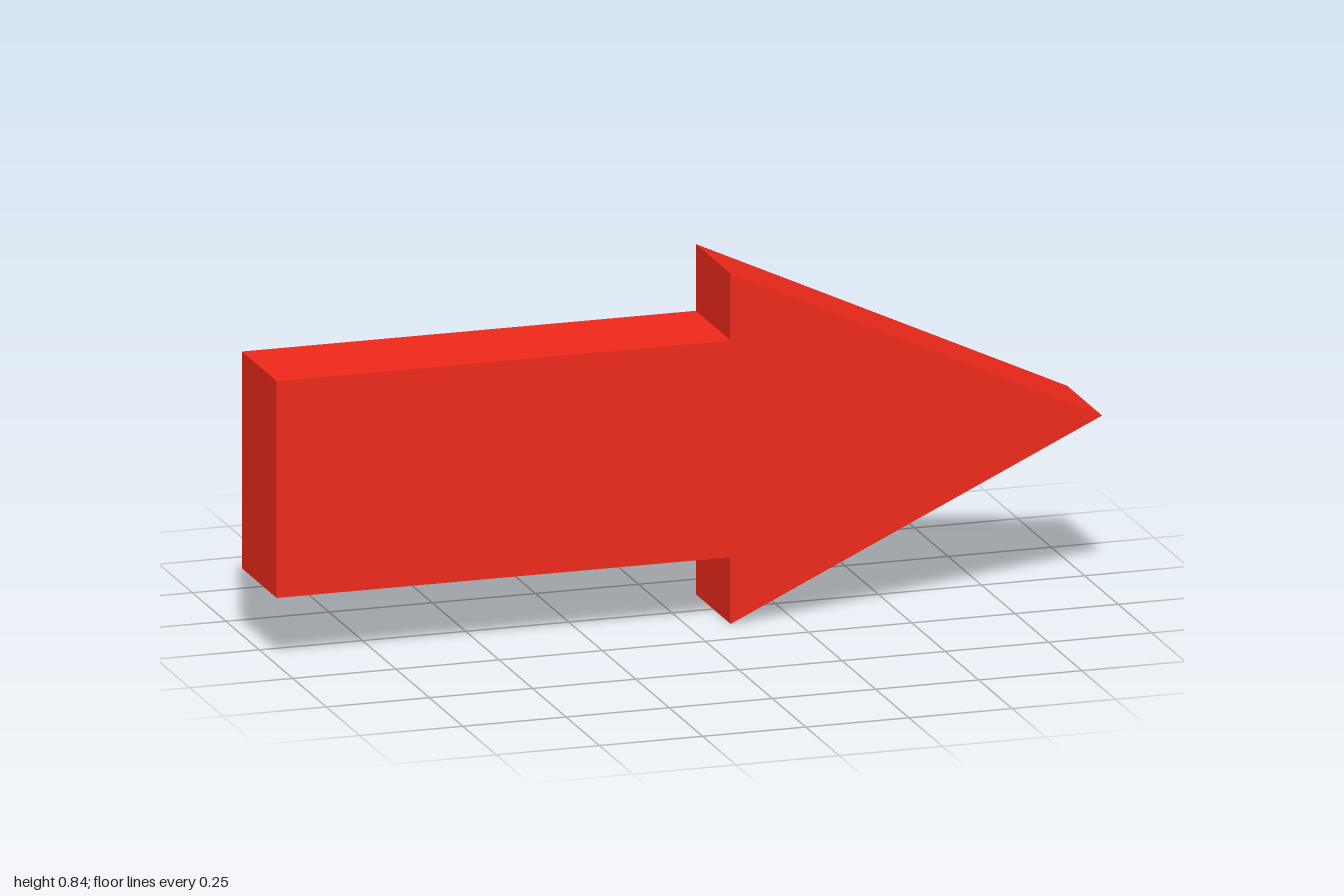
import * as THREE from 'three';

export function createModel() {
  const group = new THREE.Group();
  group.name = 'arrow';

  const depth = 0.26;
  const midY = 0.42;
  const shaftHalf = 0.26;
  const headX = 0.1;

  // Arrow outline: shaft on the left, pointed head on the right
  const outline = new THREE.Shape([
    [-1, midY - shaftHalf],
    [headX, midY - shaftHalf],
    [headX, 0],
    [1, midY],
    [headX, midY * 2],
    [headX, midY + shaftHalf],
    [-1, midY + shaftHalf],
  ].map(([x, y]) => new THREE.Vector2(x, y)));

  const geometry = new THREE.ExtrudeGeometry(outline, { depth, bevelEnabled: false });
  geometry.translate(0, 0, -depth / 2);

  const material = new THREE.MeshStandardMaterial({ color: 0xf0291a, flatShading: true });
  const body = new THREE.Mesh(geometry, material);
  body.name = 'arrowBody';
  group.add(body);

  return group;
}
